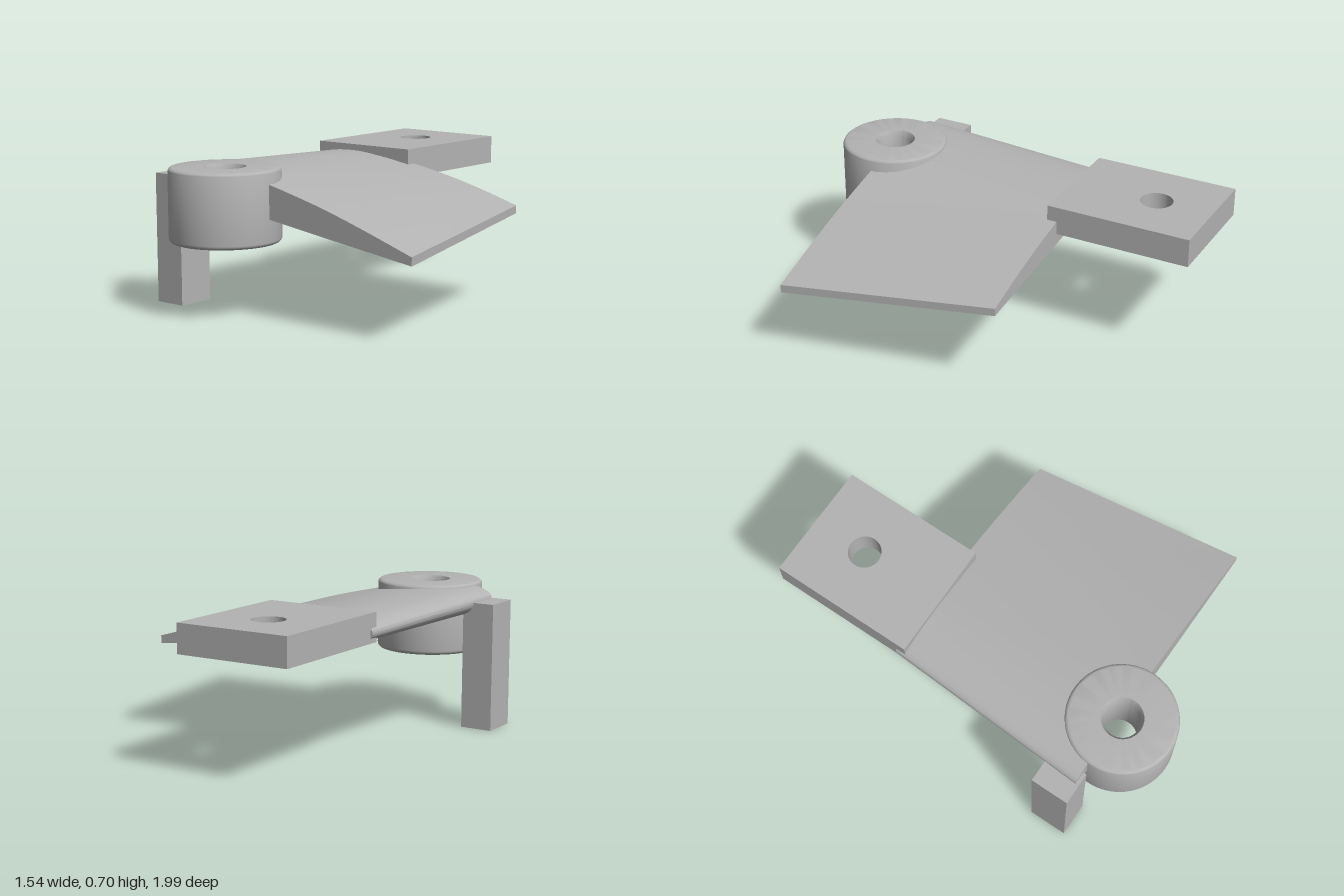
import * as THREE from 'three';
import { toCreasedNormals } from 'three/addons/utils/BufferGeometryUtils.js';

const BOSS = { x: -0.315, z: 0.73 };

// Blade sections: [x, top y, bottom y] from rounded nose to thin trailing edge
const NEAR_Z = 0.715, FAR_Z = -0.33;
const NEAR = [
  [-0.675, 0.632, 0.632], [-0.668, 0.65, 0.608], [-0.645, 0.667, 0.583], [-0.58, 0.685, 0.557],
  [-0.41, 0.69, 0.526], [-0.23, 0.672, 0.5], [-0.05, 0.635, 0.475], [0.25, 0.562, 0.432],
  [0.5, 0.487, 0.397], [0.765, 0.4, 0.36],
];
const FAR = [
  [-0.615, 0.605, 0.605], [-0.61, 0.622, 0.59], [-0.59, 0.638, 0.572], [-0.53, 0.657, 0.557],
  [-0.38, 0.668, 0.541], [-0.21, 0.653, 0.523], [-0.03, 0.625, 0.504], [0.2, 0.58, 0.478],
  [0.4, 0.53, 0.458], [0.59, 0.475, 0.437],
];

function bladeGeometry(columns = 72, rows = 6) {
  const curve = (rowsIn) => new THREE.CatmullRomCurve3(rowsIn.map((p) => new THREE.Vector3(...p)));
  const near = curve(NEAR), far = curve(FAR);
  const pos = [];
  const quad = (a, b, c, d) => [a, b, c, a, c, d].forEach((p) => pos.push(...p));

  // grid[i][j] holds the top and bottom points of column i, row j
  const grid = [];
  for (let i = 0; i <= columns; i++) {
    const n = near.getPoint(i / columns), f = far.getPoint(i / columns);
    // The front edge is notched inside the boss so the bore stays open
    const dx = n.x - BOSS.x;
    const notch = Math.abs(dx) < 0.18 ? BOSS.z - Math.sqrt(0.18 ** 2 - dx * dx) : NEAR_Z;
    const t0 = (NEAR_Z - Math.min(NEAR_Z, notch)) / (NEAR_Z - FAR_Z);
    grid.push(Array.from({ length: rows + 1 }, (_, j) => {
      const t = t0 + (1 - t0) * j / rows;
      const p = n.clone().lerp(f, t), z = NEAR_Z + (FAR_Z - NEAR_Z) * t;
      return { top: [p.x, p.y, z], bottom: [p.x, p.z, z] };
    }));
  }
  for (let i = 0; i < columns; i++) {
    const a = grid[i], b = grid[i + 1];
    for (let j = 0; j < rows; j++) {
      quad(a[j].top, b[j].top, b[j + 1].top, a[j + 1].top);
      quad(b[j].bottom, a[j].bottom, a[j + 1].bottom, b[j + 1].bottom);
    }
    quad(a[0].top, a[0].bottom, b[0].bottom, b[0].top);
    quad(a[rows].bottom, a[rows].top, b[rows].top, b[rows].bottom);
  }
  // Trailing edge
  const e = grid[columns];
  for (let j = 0; j < rows; j++) quad(e[j].top, e[j].bottom, e[j + 1].bottom, e[j + 1].top);

  const g = new THREE.BufferGeometry();
  g.setAttribute('position', new THREE.Float32BufferAttribute(pos, 3));
  return toCreasedNormals(g, 0.6);
}

// Ring with rounded outer rims and a chamfered bore
function bossGeometry() {
  const R = 0.263, r = 0.085, y0 = 0.35, y1 = 0.7, f = 0.02, c = 0.015;
  const pts = [[r, y0 + 0.03], [r + c, y0]];
  const fillet = (cy, start) => {
    for (let k = 0; k <= 5; k++) {
      const a = start + (k / 5) * Math.PI / 2;
      pts.push([R - f + f * Math.cos(a), cy + f * Math.sin(a)]);
    }
  };
  fillet(y0 + f, -Math.PI / 2);
  fillet(y1 - f, 0);
  pts.push([r + c, y1], [r, y1 - 0.03], [r, y0 + 0.03]);
  const g = new THREE.LatheGeometry(pts.map((p) => new THREE.Vector2(...p)), 72);
  return toCreasedNormals(g, 0.5);
}

// Flat mounting tab with a round hole
function tabGeometry() {
  const x0 = -0.605, x1 = -0.027, z0 = -1, z1 = -0.28;
  const shape = new THREE.Shape([[x0, -z1], [x1, -z1], [x1, -z0], [x0, -z0]].map((p) => new THREE.Vector2(...p)));
  shape.holes.push(new THREE.Path().absarc(BOSS.x, 0.715, 0.079, 0, Math.PI * 2, true));
  const g = new THREE.ExtrudeGeometry(shape, { depth: 0.14, bevelEnabled: false, curveSegments: 48 });
  g.rotateX(-Math.PI / 2);
  g.translate(0, 0.56, 0);
  return toCreasedNormals(g, 0.5);
}

export function createModel() {
  const group = new THREE.Group();
  group.name = 'bladeBracket';
  const grey = new THREE.MeshStandardMaterial({ color: 0xb3b3b3 });
  grey.name = 'plain grey';

  const add = (name, geometry, x = 0, y = 0, z = 0) => {
    const mesh = new THREE.Mesh(geometry, grey);
    mesh.name = name;
    mesh.position.set(x, y, z);
    group.add(mesh);
  };

  add('blade', bladeGeometry());
  add('boss', bossGeometry(), BOSS.x, 0, BOSS.z);
  add('mountingTab', tabGeometry());
  add('post', new THREE.BoxGeometry(0.162, 0.63, 0.19), -0.69, 0.315, 0.637);
  return group;
}
